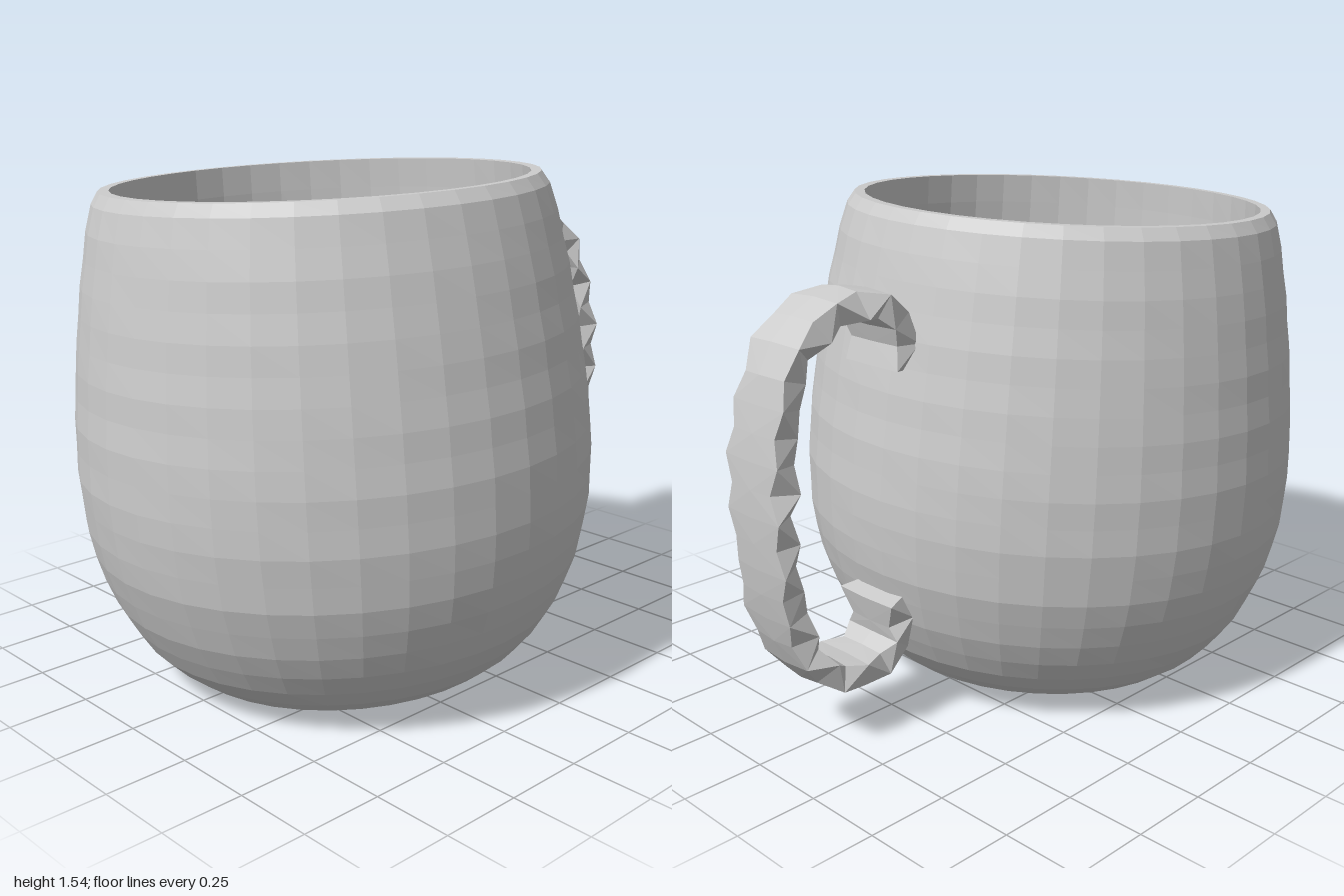
import * as THREE from 'three';

const material = new THREE.MeshStandardMaterial({ color: 0xcccccc, flatShading: true, side: THREE.DoubleSide });

// Small seeded generator for the rough handle edges
function seeded(seed) {
  return () => {
    seed = (seed * 16807) % 2147483647;
    return seed / 2147483647;
  };
}

const toPoints = (list) => list.map(([x, y]) => new THREE.Vector2(x, y));

// Base, belly and rim, then down a nearly straight inside wall to a rounded bowl
function createBody() {
  const outer = new THREE.SplineCurve(toPoints([
    [0.45, 0], [0.52, 0.022], [0.60, 0.085], [0.66, 0.16], [0.703, 0.24], [0.74, 0.33],
    [0.77, 0.44], [0.785, 0.56], [0.789, 0.67], [0.784, 0.8], [0.769, 0.95], [0.749, 1.1],
    [0.724, 1.25], [0.697, 1.38], [0.676, 1.46],
  ])).getSpacedPoints(20);
  const rimAndWall = toPoints([
    [0.652, 1.495], [0.622, 1.495], [0.625, 1.4], [0.632, 1.25], [0.638, 1.1], [0.642, 0.95], [0.642, 0.8],
  ]);
  const bowl = [];
  for (let i = 0; i <= 12; i++) {
    const a = (i / 12) * Math.PI / 2;
    bowl.push(new THREE.Vector2(0.64 * Math.cos(a), 0.62 - 0.53 * Math.sin(a)));
  }
  const profile = [new THREE.Vector2(0, 0), ...outer, ...rimAndWall, ...bowl];
  const segments = 38;
  const geometry = new THREE.LatheGeometry(profile, segments);

  // Slight unevenness of the surface
  const pos = geometry.attributes.position;
  for (let i = 0; i < pos.count; i++) {
    const row = i % profile.length;
    const column = Math.floor(i / profile.length) % segments;
    const s = 1 + 0.002 * Math.sin(column * 12.9 + row * 78.2);
    pos.setXYZ(i, pos.getX(i) * s, pos.getY(i), pos.getZ(i) * s);
  }
  geometry.computeVertexNormals();

  const body = new THREE.Mesh(geometry, material);
  body.name = 'mugBody';
  body.position.set(-0.186, 0.022, 0.018);
  body.rotation.set(-0.027, 0, 0.036);
  return body;
}

// Flat, rough-edged band swept along a hooked loop
function createHandle() {
  const path = new THREE.CatmullRomCurve3([
    [0.54, 1.11], [0.522, 1.19], [0.55, 1.265], [0.62, 1.312], [0.7, 1.315], [0.8, 1.28],
    [0.89, 1.195], [0.93, 1.05], [0.952, 0.85], [0.945, 0.65], [0.917, 0.47], [0.862, 0.315],
    [0.77, 0.225], [0.68, 0.206], [0.59, 0.22], [0.535, 0.28], [0.55, 0.345], [0.563, 0.41],
  ].map(([x, y]) => new THREE.Vector3(x, y, -0.03 * y)));

  // Cross-section as [outward, sideways]
  const section = [[0.036, -0.1], [0.043, 0], [0.036, 0.1], [-0.036, 0.1], [-0.04, 0], [-0.036, -0.1]];
  const n = section.length;
  const stations = 26;
  const random = seeded(77);
  const positions = [];
  const indices = [];

  // Outer and inner corners widen on alternate stations
  for (let i = 0; i <= stations; i++) {
    const p = path.getPointAt(i / stations);
    const t = path.getTangentAt(i / stations);
    section.forEach(([out, side], j) => {
      const zigzag = (i + (j < 3 ? 0 : 1)) % 2 ? 1.1 : 0.85;
      const w = side * (zigzag + (random() - 0.5) * 0.3);
      positions.push(p.x - t.y * out, p.y + t.x * out, p.z + w);
    });
  }

  for (let i = 0; i < stations; i++) {
    for (let j = 0; j < n; j++) {
      const k = (j + 1) % n;
      const a = i * n + j, b = i * n + k, c = b + n, d = a + n;
      if ((i + j) % 2) indices.push(a, b, c, a, c, d);
      else indices.push(a, b, d, b, c, d);
    }
  }

  // End caps
  const last = stations * n;
  for (let j = 1; j < n - 1; j++) {
    indices.push(0, j + 1, j, last, last + j, last + j + 1);
  }

  const geometry = new THREE.BufferGeometry();
  geometry.setAttribute('position', new THREE.Float32BufferAttribute(positions, 3));
  geometry.setIndex(indices);
  geometry.computeVertexNormals();
  const handle = new THREE.Mesh(geometry, material);
  handle.name = 'handle';
  return handle;
}

export function createModel() {
  const mug = new THREE.Group();
  mug.name = 'mug';
  mug.add(createBody(), createHandle());
  return mug;
}
